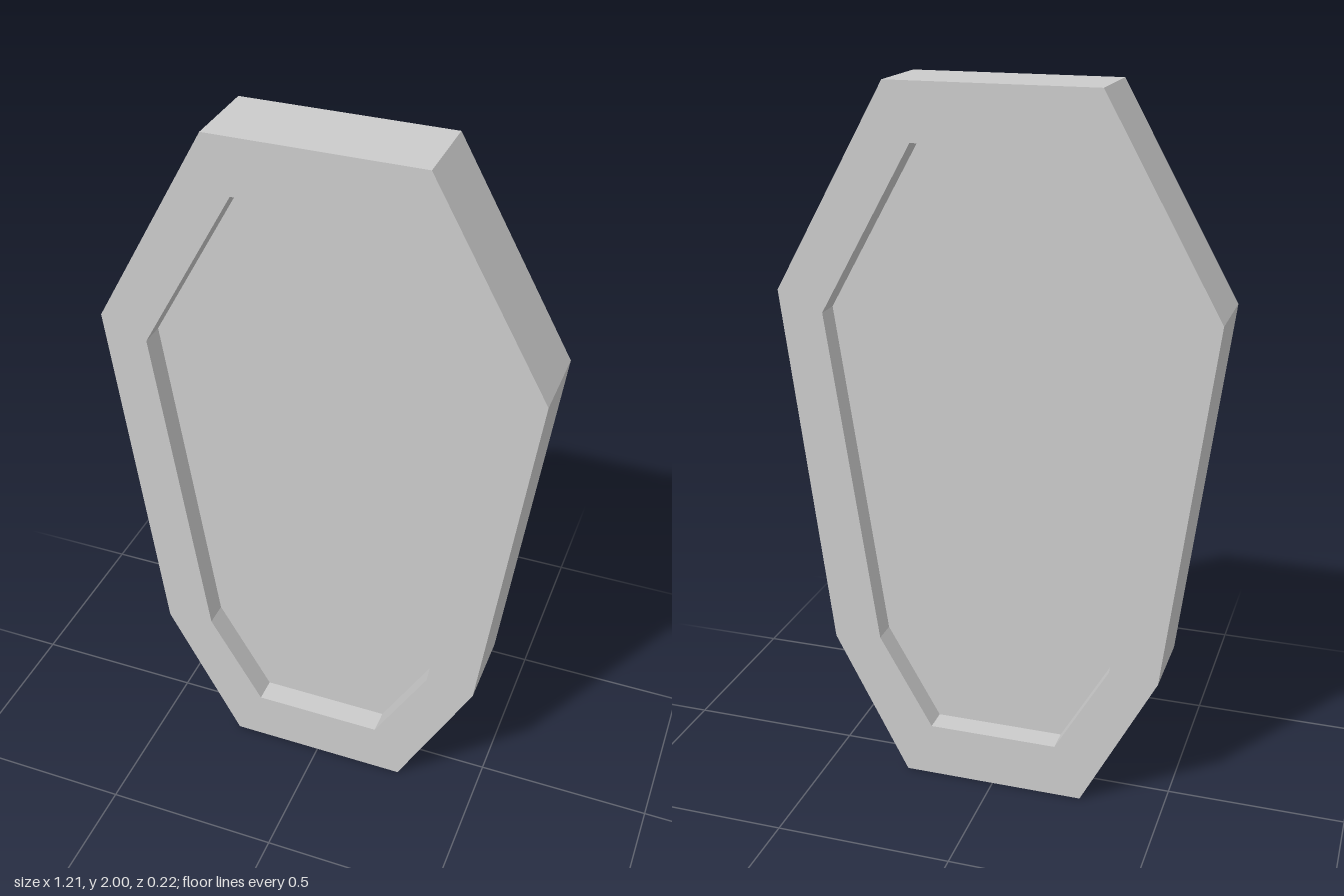
import * as THREE from 'three';

// Half outlines (+x side), listed from bottom to top
const OUTER = [[0.263, 0], [0.477, 0.41], [0.603, 1.437], [0.285, 2]];
const INNER = [[0.186, 0.158], [0.339, 0.425], [0.475, 1.383], [0.214, 1.846]];
const THICKNESS = 0.225;
const RECESS = 0.069;

// Mirror a half outline into a closed ring of points
function outline(half) {
  const right = half.map(([x, y]) => new THREE.Vector2(x, y));
  const left = half.map(([x, y]) => new THREE.Vector2(-x, y)).reverse();
  return [...right, ...left];
}

// Extrude a shape so that it is centred on z = 0
function slab(name, shape, depth, material) {
  const geometry = new THREE.ExtrudeGeometry(shape, { depth, bevelEnabled: false });
  geometry.translate(0, 0, -depth / 2);
  const mesh = new THREE.Mesh(geometry, material);
  mesh.name = name;
  return mesh;
}

export function createModel() {
  const group = new THREE.Group();
  group.name = 'coffinLid';
  const material = new THREE.MeshStandardMaterial({ color: 0xcccccc, flatShading: true });

  // Thick eight-sided rim
  const rim = new THREE.Shape(outline(OUTER));
  rim.holes.push(new THREE.Path(outline(INNER)));
  group.add(slab('rim', rim, THICKNESS, material));

  // Thin panel, recessed on the front and the back
  const panel = new THREE.Shape(outline(INNER));
  group.add(slab('recessedPanel', panel, THICKNESS - 2 * RECESS, material));

  return group;
}
